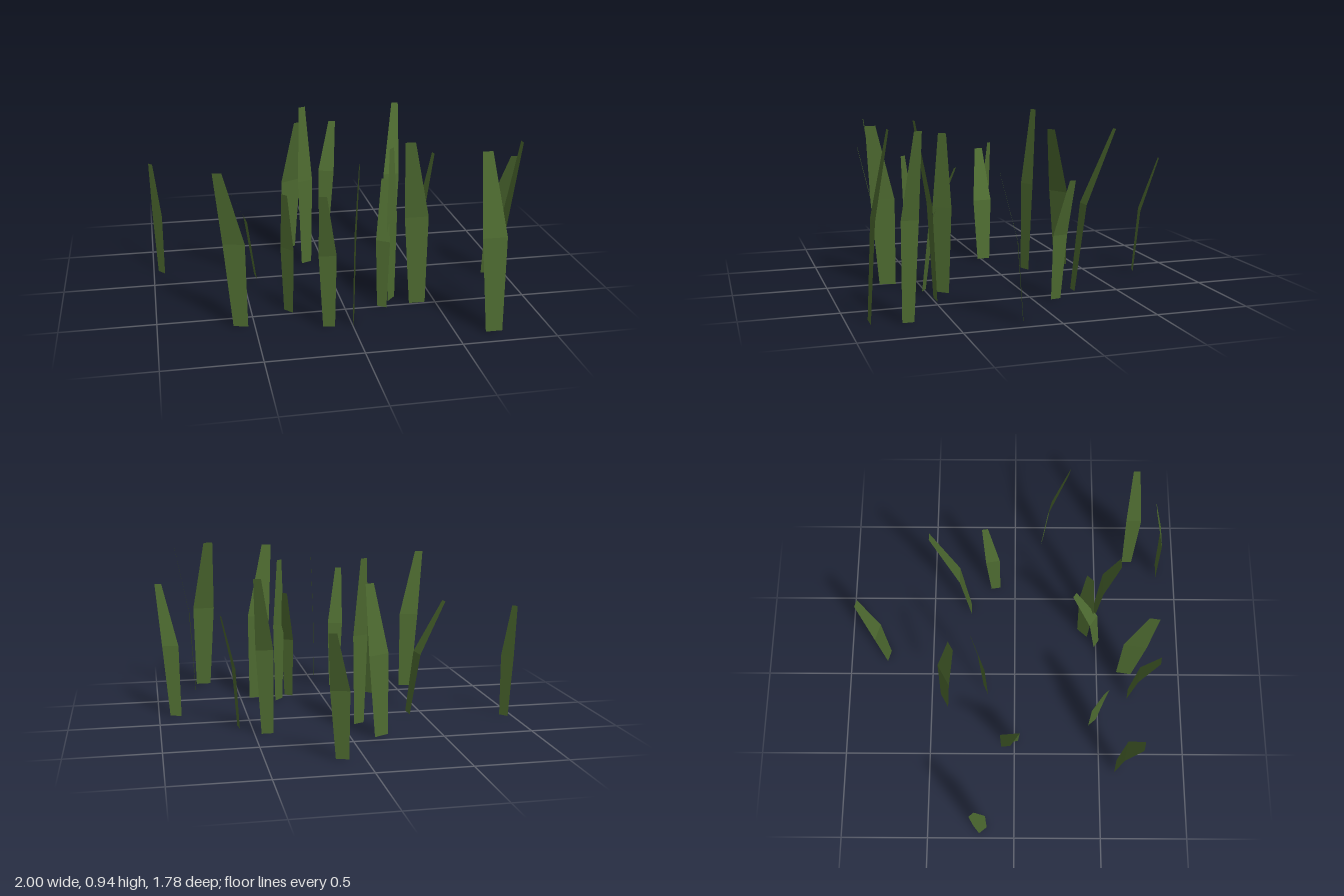
import * as THREE from 'three';

const bladeGreen = new THREE.MeshStandardMaterial({ color: 0x4d6a30, flatShading: true, side: THREE.DoubleSide });

// Each blade: base x, z; tip x, z; width vector x, z at its widest; height
const BLADES = [
  [0.115, -0.77, 0.187, -0.887, 0.096, 0.03, 0.67],
  [-0.17, -0.425, -0.118, -0.342, 0.122, -0.068, 0.82],
  [-0.10, -0.175, -0.112, -0.228, 0.09, -0.04, 0.94],
  [0.43, -0.27, 0.497, -0.472, 0.095, 0, 0.88],
  [0.573, -0.12, 0.663, -0.174, 0.013, 0.082, 0.64],
  [-0.955, -0.18, -0.985, -0.222, 0.052, 0.064, 0.65],
  [-0.425, -0.018, -0.623, -0.045, 0.01, 0.113, 0.66],
  [0.905, 0.172, 0.98, 0.315, 0.092, 0.026, 0.75],
  [0.2, 0.503, 0.243, 0.335, 0.066, 0.045, 0.67],
  [0.272, 0.417, 0.262, 0.409, 0.076, -0.085, 0.86],
  [0.4, 0.488, 0.318, 0.572, 0.13, 0, 0.935],
  [-0.303, 0.467, -0.322, 0.499, 0.06, 0.07, 0.67],
  [-0.572, 0.6, -0.672, 0.668, 0.11, 0.025, 0.86],
  [-0.123, 0.685, -0.172, 0.788, 0.09, 0.015, 0.75],
  [0.01, 0.665, 0.016, 0.745, -0.02, 0.13, 0.885],
  [0.76, 0.71, 0.873, 0.675, 0, 0.088, 0.94],
  [0.7, 0.89, 0.657, 0.775, 0.13, 0, 0.93],
];

// Cross edges of a blade: height fraction, lean fraction, width fraction
const EDGES = [[0, 0, 0.68], [0.54, 0.25, 1], [1, 1, 0.42]];

function bladeGeometry([bx, bz, tx, tz, wx, wz, h]) {
  const geo = new THREE.PlaneGeometry(1, 1, 1, 2);
  const pos = geo.attributes.position;
  for (let i = 0; i < pos.count; i++) {
    const row = 2 - Math.floor(i / 2); // plane rows run from top to bottom
    const [up, lean, wide] = EDGES[row];
    const s = pos.getX(i) * wide;
    pos.setXYZ(i, bx + (tx - bx) * lean + wx * s, h * up, bz + (tz - bz) * lean + wz * s);
  }
  const flat = geo.toNonIndexed();
  flat.computeVertexNormals();
  return flat;
}

export function createModel() {
  const group = new THREE.Group();
  group.name = 'grassPatch';
  BLADES.forEach((blade, i) => {
    const mesh = new THREE.Mesh(bladeGeometry(blade), bladeGreen);
    mesh.name = `grassBlade${i + 1}`;
    group.add(mesh);
  });
  return group;
}
